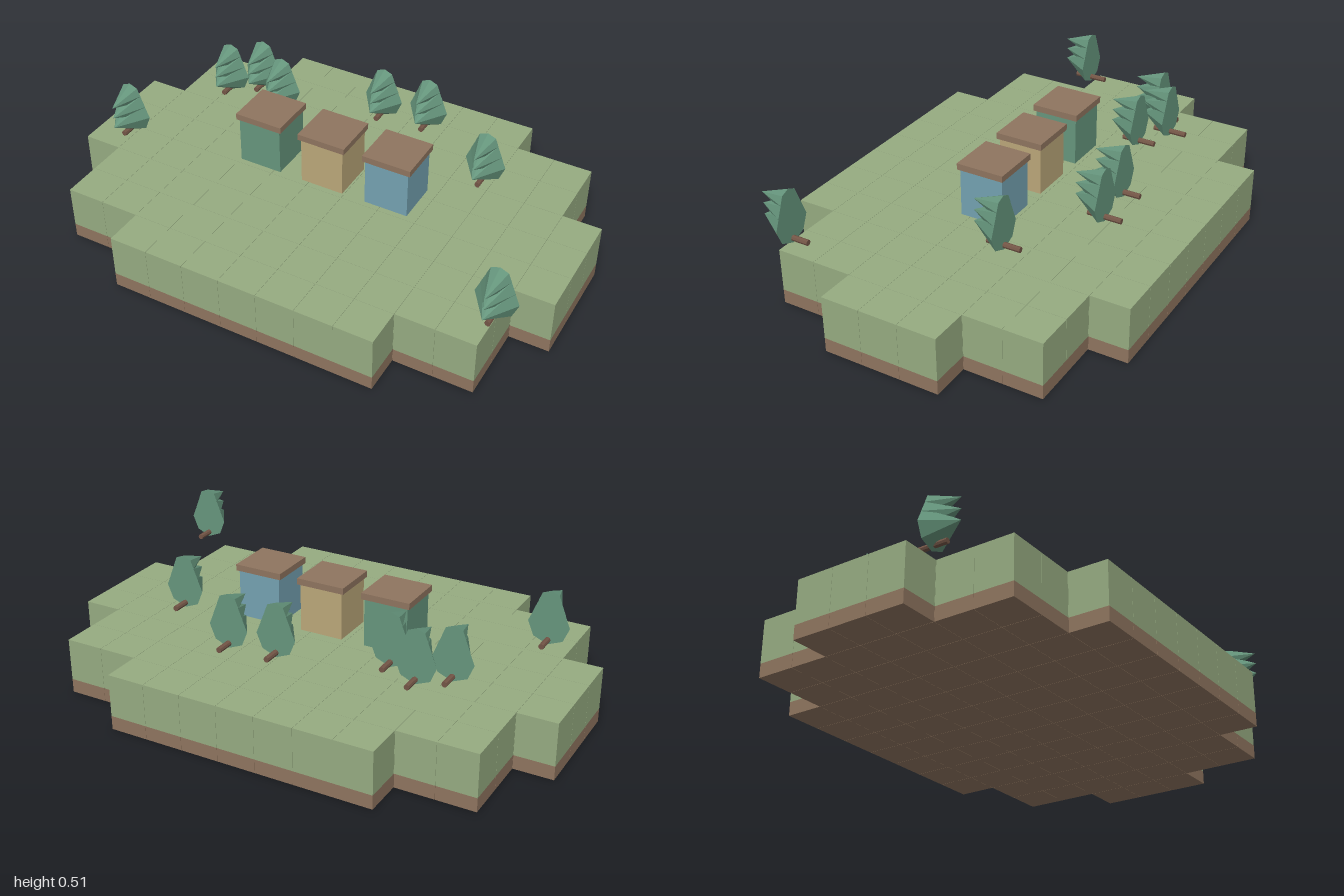
import * as THREE from 'three';
import { mergeGeometries } from 'three/addons/utils/BufferGeometryUtils.js';

function material(name, color) {
  const m = new THREE.MeshStandardMaterial({ color, flatShading: true });
  m.name = name;
  return m;
}

function addMesh(parent, name, geometry, mat, x = 0, y = 0, z = 0) {
  const mesh = new THREE.Mesh(geometry, mat);
  mesh.name = name;
  mesh.position.set(x, y, z);
  parent.add(mesh);
  return mesh;
}

export function createModel() {
  const model = new THREE.Group();
  model.name = 'village';
  const grass = material('grass green', 0x96ab81);
  const soil = material('soil brown', 0x8f755f);
  const pine = material('pine green', 0x66967d);
  const bark = material('bark brown', 0x735546);
  const sand = material('sand yellow', 0xbba779);
  const blue = material('pale blue', 0x74a2b1);

  // Stepped island of square tiles, a soil layer under a grass layer
  const pitch = 2 / 13, tile = pitch - 0.001;
  const soilTop = 0.055, grassTop = 0.224;
  const halfCount = [6, 6, 5, 5, 3]; // columns each side, by distance from the middle row
  const layer = (y0, y1) => {
    const boxes = [];
    for (let row = -4; row <= 4; row++) {
      const n = halfCount[Math.abs(row)];
      for (let col = -n; col <= n; col++) {
        boxes.push(new THREE.BoxGeometry(tile, y1 - y0, tile)
          .translate(col * pitch, (y0 + y1) / 2, row * pitch));
      }
    }
    return mergeGeometries(boxes);
  };
  addMesh(model, 'soilTiles', layer(0, soilTop), soil);
  addMesh(model, 'grassTiles', layer(soilTop, grassTop), grass);

  // Three houses hovering just above the grass, each with a flat roof
  const wallGeo = new THREE.BoxGeometry(0.175, 0.19, 0.175);
  const roofGeo = new THREE.BoxGeometry(0.195, 0.025, 0.19);
  [[-0.27, pine], [0, sand], [0.27, blue]].forEach(([x, wall]) => {
    const house = new THREE.Group();
    house.name = 'house';
    house.position.x = x;
    addMesh(house, 'walls', wallGeo, wall, 0, 0.35, 0);
    addMesh(house, 'roof', roofGeo, soil, 0, 0.4565, 0);
    model.add(house);
  });

  // Trees: trunk and cones all point forward along z, cones stacked upward
  const trunkGeo = new THREE.CylinderGeometry(0.011, 0.011, 0.134, 8).rotateX(Math.PI / 2);
  const tiers = [[0.08, 0.376], [0.0625, 0.4205], [0.045, 0.465]].map(([radius, y]) => ({
    y,
    geo: new THREE.ConeGeometry(radius, 0.12, 8).rotateX(Math.PI / 2),
  }));
  const spots = [
    [-0.80, 0.173], [0.865, 0.448], [-0.615, -0.255], [-0.512, -0.336],
    [-0.38, -0.264], [0.01, -0.395], [0.197, -0.415], [0.535, -0.203],
  ];
  for (const [x, z] of spots) {
    const tree = new THREE.Group();
    tree.name = 'tree';
    tree.position.set(x, 0, z);
    addMesh(tree, 'trunk', trunkGeo, bark, 0, 0.315, 0);
    tiers.forEach(({ y, geo }) => addMesh(tree, 'foliage', geo, pine, 0, y, 0.06));
    model.add(tree);
  }
  return model;
}
